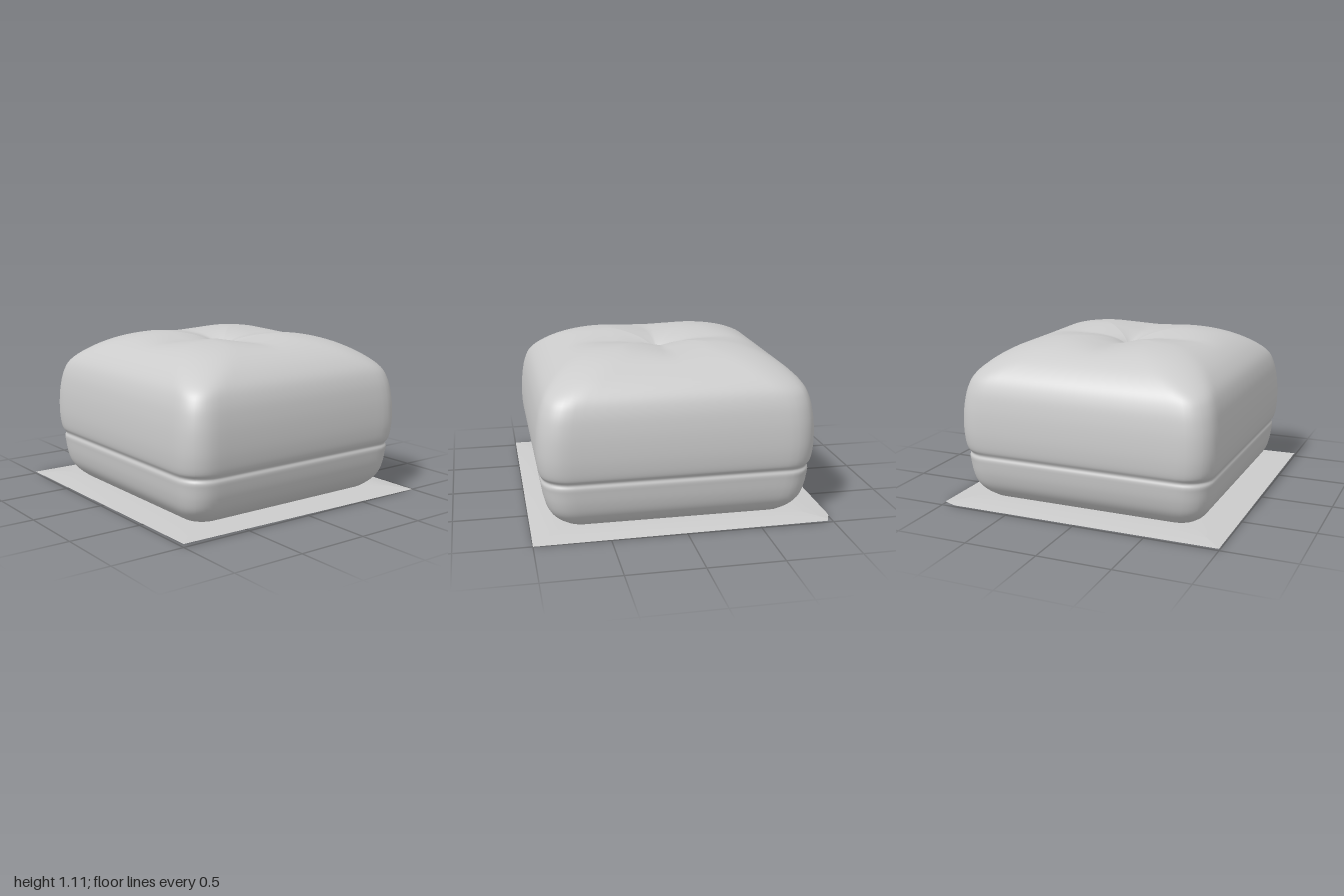
import * as THREE from 'three';

const SIDE = 32; // points per side of a ring

// One point of a rounded square with half size 1, walked counterclockwise from above
function roundedSquare(j, corner) {
  const side = Math.floor(j / SIDE) % 4;
  const s = Math.sin(Math.PI / 2 * ((j % SIDE) / SIDE * 2 - 1)); // denser near corners
  const [px, pz] = [[1, -s], [-s, -1], [-1, s], [s, 1]][side];
  const lim = 1 - corner;
  const cx = THREE.MathUtils.clamp(px, -lim, lim);
  const cz = THREE.MathUtils.clamp(pz, -lim, lim);
  const len = Math.hypot(px - cx, pz - cz) || 1;
  return [cx + (px - cx) / len * corner, cz + (pz - cz) / len * corner];
}

// Smooth skin over closed rings; pointAt(i, j) gives [x, y, z]
function loft(rows, pointAt) {
  const n = SIDE * 4, pos = [], index = [];
  for (let i = 0; i <= rows; i++) {
    for (let j = 0; j < n; j++) pos.push(...pointAt(i, j));
  }
  for (let i = 0; i < rows; i++) {
    for (let j = 0; j < n; j++) {
      const a = i * n + j, b = i * n + (j + 1) % n;
      index.push(a, b, a + n, b, b + n, a + n);
    }
  }
  const g = new THREE.BufferGeometry();
  g.setAttribute('position', new THREE.Float32BufferAttribute(pos, 3));
  g.setIndex(index);
  g.computeVertexNormals();
  return g;
}

const CX = 0.015, CZ = -0.02; // centre of the cushion
const HOLE = 0.76, HOLE_CORNER = 0.17;

// Half width, height: from the base opening over the seam to the middle of the top
const profile = new THREE.CatmullRomCurve3([
  [HOLE, 0.028], [0.81, 0.07], [0.855, 0.13], [0.885, 0.21], [0.9, 0.29], [0.903, 0.325],
  [0.896, 0.35], [0.914, 0.385], [0.927, 0.47], [0.929, 0.58], [0.92, 0.7], [0.898, 0.81],
  [0.86, 0.895], [0.79, 0.97], [0.7, 1.03], [0.59, 1.075], [0.45, 1.105], [0.3, 1.117],
  [0.15, 1.117], [0, 1.117],
].map(([r, y]) => new THREE.Vector3(r, y, 0)), false, 'centripetal');

function cushionGeometry() {
  const rows = 96;
  const groove = (t) => 0.036 * Math.pow(Math.max(0, 1 - Math.abs(t) / 0.3), 1.4);
  return loft(rows, (i, j) => {
    const p = profile.getPoint(i / rows);
    const r = Math.max(p.x, 0.0005);
    const upper = THREE.MathUtils.smoothstep(p.y, 0.85, 1.11);
    const lower = 1 - THREE.MathUtils.smoothstep(p.y, 0.03, 0.3);
    const corner = 0.21 + 0.2 * upper + (HOLE_CORNER - 0.21) * lower;
    const [u, v] = roundedSquare(j, corner);
    const x = u * r, z = v * r * (0.985 + 0.015 * lower);
    let y = p.y;
    if (y > 0.85) {
      // shallow pulled-in cross on the top, and a tufted dimple in its middle
      const fade = 1 - THREE.MathUtils.smoothstep(r, 0.3, 0.7);
      y -= fade * Math.max(groove(x), groove(z));
      y -= 0.085 * Math.exp(-Math.hypot(x / 0.13, z / 0.085));
    }
    return [x + CX, y, z + CZ];
  });
}

// Thin square skirt with the cushion's opening cut out and one chipped corner
function skirtGeometry() {
  const rows = 8;
  return loft(rows, (i, j) => {
    const t = i / rows;
    const [ox, oz] = roundedSquare(j, 0);
    const [hx, hz] = roundedSquare(j, HOLE_CORNER);
    let x = THREE.MathUtils.lerp(ox, hx * HOLE + CX, t);
    let z = THREE.MathUtils.lerp(oz, hz * HOLE + CZ, t);
    const cut = 1 - (x + 1) / 0.04 - (z + 1) / 0.1;
    if (cut > 0) {
      x += 0.02 * cut;
      z += 0.05 * cut;
    }
    const edge = 0.011 + 0.006 * oz + 0.005 * ox * oz;
    const y = THREE.MathUtils.lerp(Math.max(0, edge), 0.028, Math.sin(t * Math.PI / 2));
    return [x, y, z];
  });
}

export function createModel() {
  const model = new THREE.Group();
  model.name = 'cushion stool';
  const material = new THREE.MeshStandardMaterial({ color: 0xcccccc, side: THREE.DoubleSide });
  const add = (name, geometry) => {
    const mesh = new THREE.Mesh(geometry, material);
    mesh.name = name;
    model.add(mesh);
  };
  add('cushion', cushionGeometry());
  add('baseSkirt', skirtGeometry());
  return model;
}
